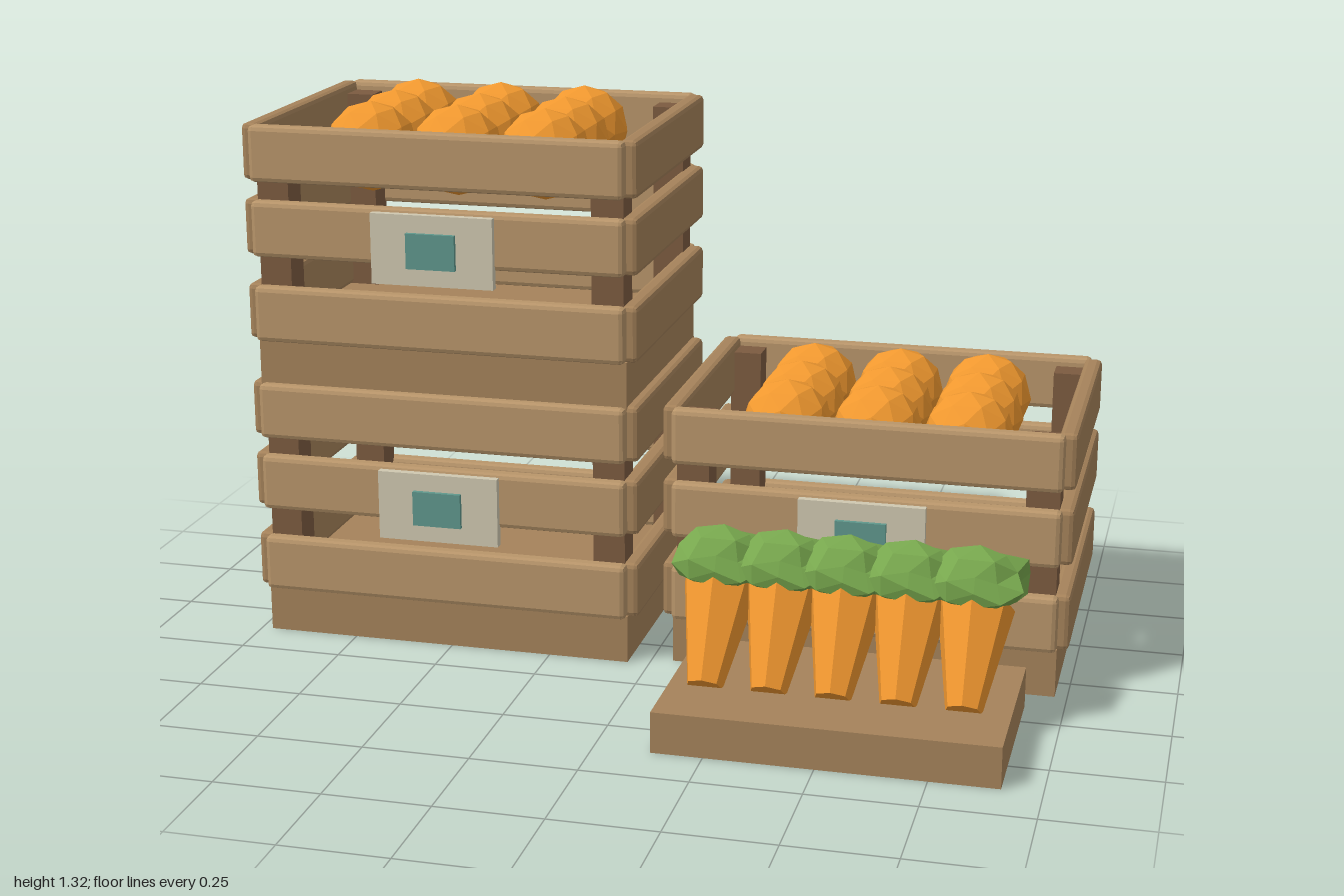
import * as THREE from 'three';
import { RoundedBoxGeometry } from 'three/addons/geometries/RoundedBoxGeometry.js';

const mat = (color) => new THREE.MeshStandardMaterial({ color, flatShading: true });
const woodLight = mat(0xb8956a), wood = mat(0xa5825a), woodDark = mat(0x7c5b40);
const orange = mat(0xf0982f), carrotOrange = mat(0xef962f), green = mat(0x78a84e);
const plate = mat(0xcfc8b0), teal = mat(0x5f978c);

function add(parent, name, geometry, material, x, y, z) {
  const mesh = new THREE.Mesh(geometry, material);
  mesh.name = name;
  mesh.position.set(x, y, z);
  parent.add(mesh);
  return mesh;
}

const box = (w, h, d) => new THREE.BoxGeometry(w, h, d);
const baseGeo = box(0.92, 0.116, 0.68);
const longSlat = new RoundedBoxGeometry(0.92, 0.136, 0.044, 1, 0.012);
const shortSlat = new RoundedBoxGeometry(0.044, 0.136, 0.676, 1, 0.012);
const postGeo = box(0.078, 0.515, 0.078);
const fruitGeo = new THREE.IcosahedronGeometry(0.11, 1);

// Slatted crate with corner posts, a front label and nine round fruits
function createCrate(name, x, y, z) {
  const crate = new THREE.Group();
  crate.name = name;
  crate.position.set(x, y, z);
  add(crate, 'crateBase', baseGeo, wood, 0, 0.058, 0);
  for (const h of [0.183, 0.392, 0.574]) {
    for (const s of [-1, 1]) {
      add(crate, s > 0 ? 'frontSlat' : 'backSlat', longSlat, woodLight, 0, h, s * 0.345);
      add(crate, s > 0 ? 'leftSlat' : 'rightSlat', shortSlat, wood, s * 0.465, h, 0);
    }
  }
  for (const sx of [-1, 1])
    for (const sz of [-1, 1])
      add(crate, 'cornerPost', postGeo, woodDark, sx * 0.413, 0.362, sz * 0.293);
  add(crate, 'labelPlate', box(0.3, 0.17, 0.022), plate, 0, 0.367, 0.373);
  add(crate, 'labelPatch', box(0.12, 0.085, 0.012), teal, 0, 0.367, 0.389);
  for (let i = -1; i <= 1; i++)
    for (let j = -1; j <= 1; j++)
      add(crate, 'fruit', fruitGeo, orange, i * 0.218, 0.57, j * 0.173);
  return crate;
}

// Spiky leaf tuft: a flattened ball whose corners move in or out by a fixed hash
function createTuftGeometry() {
  const geo = new THREE.IcosahedronGeometry(1, 1);
  const p = geo.attributes.position;
  const v = new THREE.Vector3();
  for (let i = 0; i < p.count; i++) {
    v.fromBufferAttribute(p, i).normalize();
    const [a, b, c] = v.toArray().map((n) => Math.round(n * 100));
    const n = Math.abs(Math.sin(a * 1.27 + b * 3.11 + c * 7.43 + 2)) ;
    v.multiplyScalar(0.08 + 0.052 * n);
    p.setXYZ(i, v.x, v.y * 0.63, v.z);
  }
  geo.computeVertexNormals();
  return geo;
}

// Carrots leaning back on a flat tray
function createCarrotTray() {
  const tray = new THREE.Group();
  tray.name = 'carrotTray';
  add(tray, 'trayBoard', box(0.778, 0.097, 0.463), wood, 0.52, 0.0485, 0.391);
  const rootGeo = new THREE.CylinderGeometry(0.09, 0.042, 0.25, 7);
  const tuftGeo = createTuftGeometry();
  for (let i = 0; i < 5; i++) {
    const x = 0.214 + i * 0.147;
    const root = add(tray, 'carrotRoot', rootGeo, carrotOrange, x, 0.194, 0.372);
    root.rotation.x = -0.7;
    add(tray, 'carrotLeaves', tuftGeo, green, x + 0.004, 0.345, 0.27);
  }
  return tray;
}

export function createModel() {
  const model = new THREE.Group();
  model.name = 'produceDisplay';
  model.add(
    createCrate('lowerCrate', -0.513, 0, -0.217),
    createCrate('upperCrate', -0.513, 0.635, -0.217),
    createCrate('sideCrate', 0.511, 0, -0.253),
    createCarrotTray()
  );
  return model;
}
